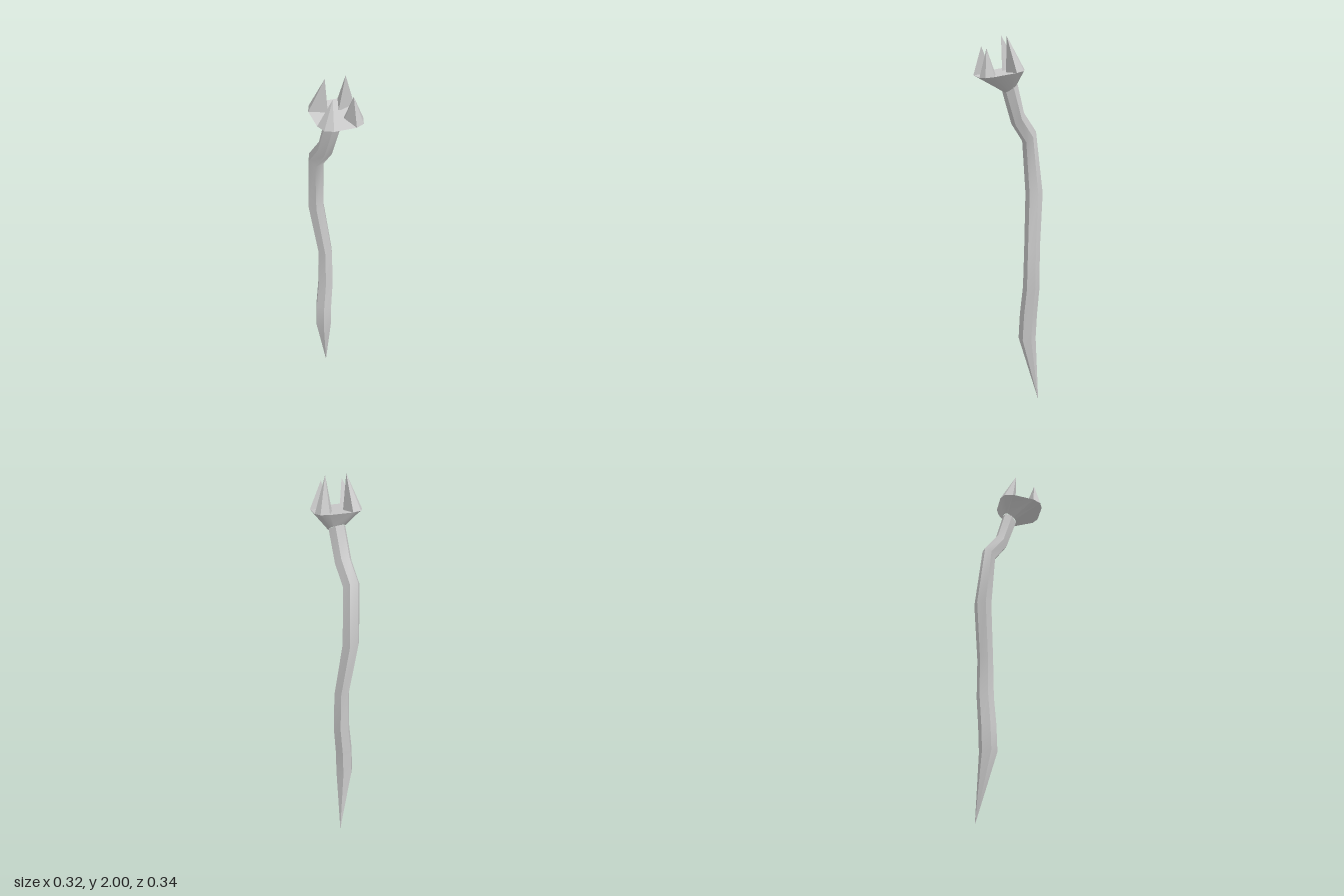
import * as THREE from 'three';
import { toCreasedNormals } from 'three/addons/utils/BufferGeometryUtils.js';

const V = (x, y, z) => new THREE.Vector3(x, y, z);
const material = new THREE.MeshStandardMaterial({ color: 0xcccccc });

// Skin a list of equal-length point rings, lowest first; a cap point closes the top
function loft(name, rings, cap, crease) {
  const pos = [];
  const tri = (...pts) => pts.forEach(p => pos.push(p.x, p.y, p.z));
  const n = rings[0].length;
  for (let i = 0; i < n; i++) {
    const j = (i + 1) % n;
    for (let k = 0; k + 1 < rings.length; k++) {
      const lo = rings[k], hi = rings[k + 1];
      if (lo[i].distanceTo(lo[j]) > 1e-6) tri(lo[i], hi[i], lo[j]);
      tri(lo[j], hi[i], hi[j]);
    }
    const top = rings[rings.length - 1];
    if (cap) tri(cap, top[j], top[i]);
  }
  const geo = new THREE.BufferGeometry();
  geo.setAttribute('position', new THREE.Float32BufferAttribute(pos, 3));
  geo.computeVertexNormals();
  const mesh = new THREE.Mesh(toCreasedNormals(geo, crease), material);
  mesh.name = name;
  return mesh;
}

// Circle of points whose axis leans by tilt degrees toward +x +z
function ring([x, y, z, r, tilt = 0], angles) {
  const t = THREE.MathUtils.degToRad(tilt), s = Math.sin(t) / Math.SQRT2;
  const q = new THREE.Quaternion().setFromUnitVectors(V(0, 1, 0), V(s, Math.cos(t), s));
  return angles.map(a => V(r * Math.cos(a), 0, r * Math.sin(a)).applyQuaternion(q).add(V(x, y, z)));
}

export function createModel() {
  const group = new THREE.Group();

  // Crooked stem, pointed at the foot: x, y, z, radius, tilt
  const neck = [-0.005, 1.74, -0.02, 0.045, 35];
  const path = [
    [-0.08, 0, -0.166, 0],
    [-0.078, 0.36, -0.1, 0.047],
    [-0.077, 0.5, -0.107, 0.047],
    [-0.07, 0.66, -0.124, 0.045],
    [-0.072, 0.87, -0.126, 0.042],
    [-0.119, 1.17, -0.122, 0.046],
    [-0.11, 1.475, -0.095, 0.045, 42],
    [-0.05, 1.575, -0.05, 0.045, 50],
    neck,
  ];
  const six = Array.from({ length: 6 }, (_, i) => (i + 0.25) * Math.PI / 3);
  group.add(loft('stem', path.map(p => ring(p, six)), null, 0.75));

  // Gently sloping square plate with clipped corners
  const cx = 0.02, cz = 0.03;
  const onPlate = ([x, z]) => V(cx + x, 1.815 - 0.107 * (x + z), cz + z);
  const turn = ([x, z], k) => k ? turn([-z, x], k - 1) : [x, z];
  const corner = [[0.13, -0.02], [0.14, 0.025], [0.115, 0.065]];
  const rim = [0, 1, 2, 3].flatMap(k => corner.map(p => turn(p, k)));

  // Bowl flaring from the neck to the plate
  const rimAngles = rim.map(([x, z]) => Math.atan2(z, x));
  group.add(loft('bowl', [ring(neck, rimAngles), rim.map(onPlate)], onPlate([0, 0]), 0.6));

  // One spike on each corner: right, front, left, back
  const tipHeights = [1.94, 1.945, 2, 2];
  tipHeights.forEach((y, k) => {
    const base = [...corner, [0.046, 0.016], [0.04, 0.005]].map(p => onPlate(turn(p, k)));
    const [tx, tz] = turn([0.072, 0.015], k);
    group.add(loft('spike', [base], V(cx + tx + 0.02, y, cz + tz + 0.02), 0.3));
  });
  return group;
}
